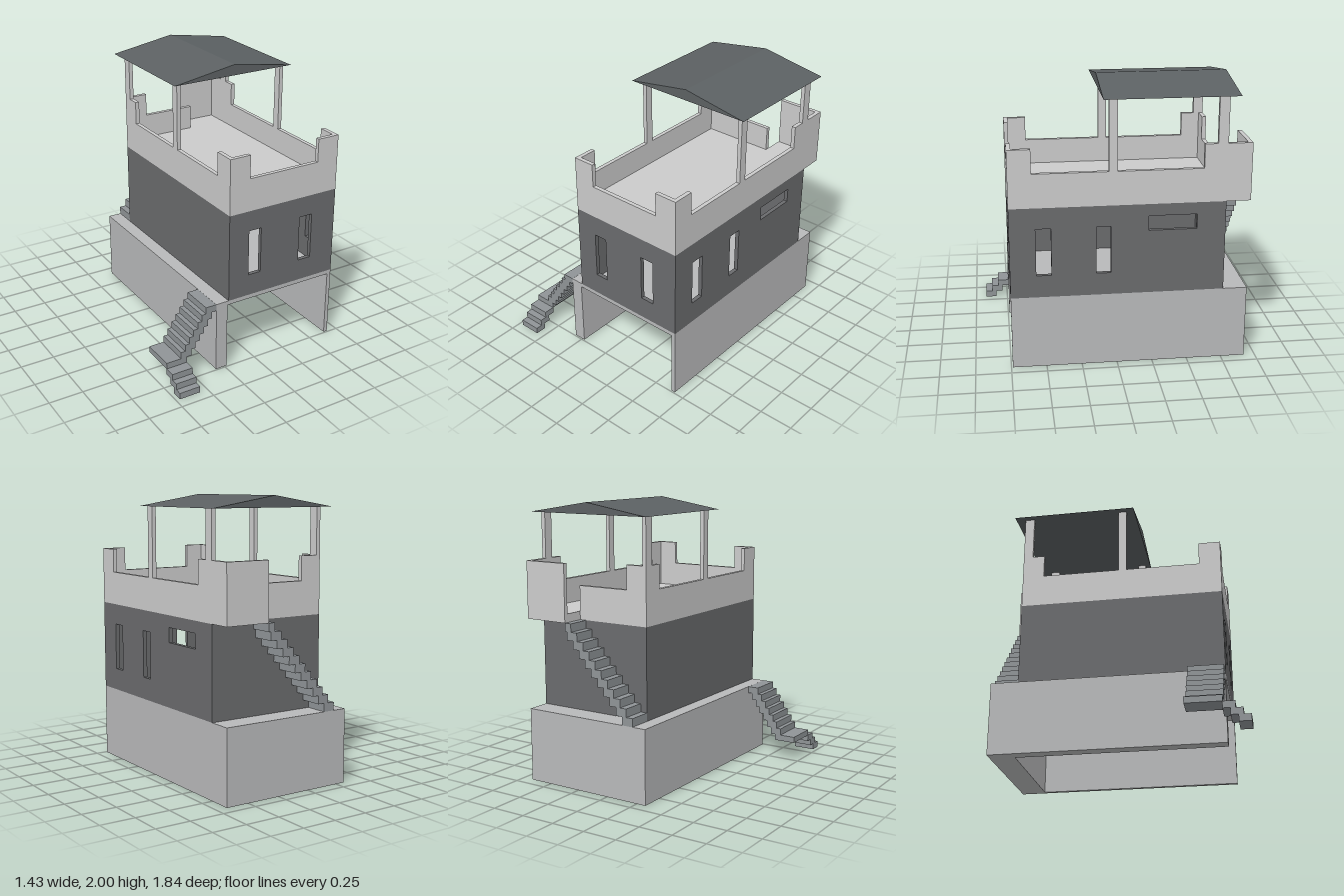
import * as THREE from 'three';

const T = 0.03; // wall thickness
const paint = (color) => new THREE.MeshStandardMaterial({ color, flatShading: true });

export function createModel() {
  const model = new THREE.Group();
  const mats = {
    concrete: paint(0xb8b9ba), house: paint(0x6a6b6d), parapet: paint(0xcccccc),
    stairs: paint(0x8f9497), roof: paint(0x5c6163),
  };

  const add = (name, geometry, mat, parent = model) => {
    const mesh = new THREE.Mesh(geometry, mat);
    mesh.name = name;
    parent.add(mesh);
    return mesh;
  };
  const group = (name) => {
    const g = new THREE.Group();
    g.name = name;
    model.add(g);
    return g;
  };
  // Box given by its limits on each axis
  const box = (name, [x0, x1], [y0, y1], [z0, z1], mat, parent) => {
    const mesh = add(name, new THREE.BoxGeometry(x1 - x0, y1 - y0, z1 - z0), mat, parent);
    mesh.position.set((x0 + x1) / 2, (y0 + y1) / 2, (z0 + z1) / 2);
    return mesh;
  };
  const outline = (points) => new THREE.Shape(points.map(([u, v]) => new THREE.Vector2(u, v)));
  const extrude = (shape, depth) => new THREE.ExtrudeGeometry(shape, { depth, bevelEnabled: false });
  // Wall drawn in x,y and starting at z
  const wallAlongX = (name, shape, z, mat, parent) => {
    add(name, extrude(shape, T), mat, parent).position.z = z;
  };
  // Wall drawn in z,y and whose +x face is at x
  const wallAlongZ = (name, shape, x, mat, parent) => {
    add(name, extrude(shape, T).rotateY(-Math.PI / 2), mat, parent).position.x = x;
  };
  // Rectangular wall with window holes [u0, u1, y0, y1]
  const windowed = (u0, u1, y0, y1, holes) => {
    const shape = outline([[u0, y0], [u1, y0], [u1, y1], [u0, y1]]);
    for (const [a, b, c, d] of holes) {
      shape.holes.push(new THREE.Path([[a, c], [a, d], [b, d], [b, c]].map(([u, v]) => new THREE.Vector2(u, v))));
    }
    return shape;
  };
  // Parapet wall with raised ends: low between a and b
  const notched = (u0, a, b, u1) => outline([
    [u0, 1.18], [u1, 1.18], [u1, 1.59], [b, 1.59], [b, 1.42], [a, 1.42], [a, 1.59], [u0, 1.59]]);

  // Open-fronted base
  const base = group('base');
  box('baseTop', [-0.32, 0.67], [0.5, 0.53], [-0.92, 0.74], mats.concrete, base);
  box('baseLeftWall', [0.64, 0.67], [0, 0.5], [-0.74, 0.74], mats.concrete, base);
  box('baseRightWall', [-0.32, -0.23], [0, 0.5], [-0.74, 0.74], mats.concrete, base);
  box('baseBackWall', [-0.32, 0.67], [0, 0.5], [-0.92, -0.74], mats.concrete, base);

  // Hollow middle storey with window slots
  const house = group('house');
  wallAlongX('houseFront', windowed(-0.19, 0.64, 0.53, 1.18,
    [[-0.06, 0.04, 0.69, 1.03], [0.365, 0.47, 0.69, 1.03]]), 0.71, mats.house, house);
  wallAlongX('houseBack', windowed(-0.19, 0.64, 0.53, 1.18, []), -0.75, mats.house, house);
  wallAlongZ('houseLeft', windowed(-0.75, 0.74, 0.53, 1.18,
    [[0.455, 0.56, 0.69, 1.03], [0.045, 0.145, 0.69, 1.03], [-0.55, -0.215, 0.99, 1.095]]), 0.67, mats.house, house);
  wallAlongZ('houseRight', windowed(-0.75, 0.74, 0.53, 1.18, []), -0.19, mats.house, house);

  // Roof deck with a landing behind, and its parapet
  const deck = group('deck');
  box('deckFloor', [-0.19, 0.64], [1.18, 1.24], [-0.72, 0.71], mats.parapet, deck);
  box('landingFloor', [0.34, 0.64], [1.18, 1.24], [-0.89, -0.72], mats.parapet, deck);
  wallAlongX('parapetFront', notched(-0.19, -0.06, 0.5, 0.64), 0.71, mats.parapet, deck);
  wallAlongZ('parapetLeft', notched(-0.92, -0.59, 0.58, 0.74), 0.67, mats.parapet, deck);
  wallAlongZ('parapetRight', notched(-0.75, -0.59, 0.58, 0.74), -0.19, mats.parapet, deck);
  wallAlongX('parapetBack', outline([
    [-0.19, 1.18], [0.34, 1.18], [0.34, 1.42], [-0.06, 1.42], [-0.06, 1.59], [-0.19, 1.59]]), -0.75, mats.parapet, deck);
  box('parapetLanding', [0.34, 0.64], [1.18, 1.59], [-0.92, -0.89], mats.parapet, deck);

  // Canopy on four posts
  const canopy = group('canopy');
  for (const [x0, x1, front] of [[-0.22, -0.19, 0.04], [0.64, 0.67, 0.06]]) {
    box('frontPost', [x0, x1], [1.42, 1.92], [front - 0.06, front], mats.parapet, canopy);
    box('backPost', [x0, x1], [1.59, 1.92], [-0.75, -0.68], mats.parapet, canopy);
  }
  add('canopyRoof', extrude(outline([[-0.27, 1.92], [0.71, 1.92], [0.22, 2]]), 0.92), mats.roof, canopy)
    .position.z = -0.82;

  // Back flight, walkway to landing
  const backStairs = group('backStairs');
  const n = 11, run = 0.56 / n, rise = 0.65 / n;
  for (let i = 0; i < n; i++) {
    const x = -0.22 + i * run, y = 0.53 + i * rise;
    box('backStep', [x, Math.min(x + 0.085, 0.34)], [y, y + rise], [-0.92, -0.75], mats.stairs, backStairs);
  }

  // Front flight: three steps, a turning platform, seven steps to the walkway
  const frontStairs = group('frontStairs');
  for (let i = 0; i < 3; i++) {
    const z = 0.92 - i * 0.05;
    box('lowerStep', [-0.72, -0.56], [i * 0.047, (i + 1) * 0.047], [z - 0.083, z], mats.stairs, frontStairs);
  }
  box('turningPlatform', [-0.72, -0.56], [0.141, 0.185], [0.49, 0.74], mats.stairs, frontStairs);
  for (let i = 0; i < 7; i++) {
    const x = -0.605 + i * 0.0335, y = 0.185 + i * 0.0493;
    box('upperStep', [x, x + 0.083], [y, y + 0.0493], [0.49, 0.74], mats.stairs, frontStairs);
  }
  return model;
}
